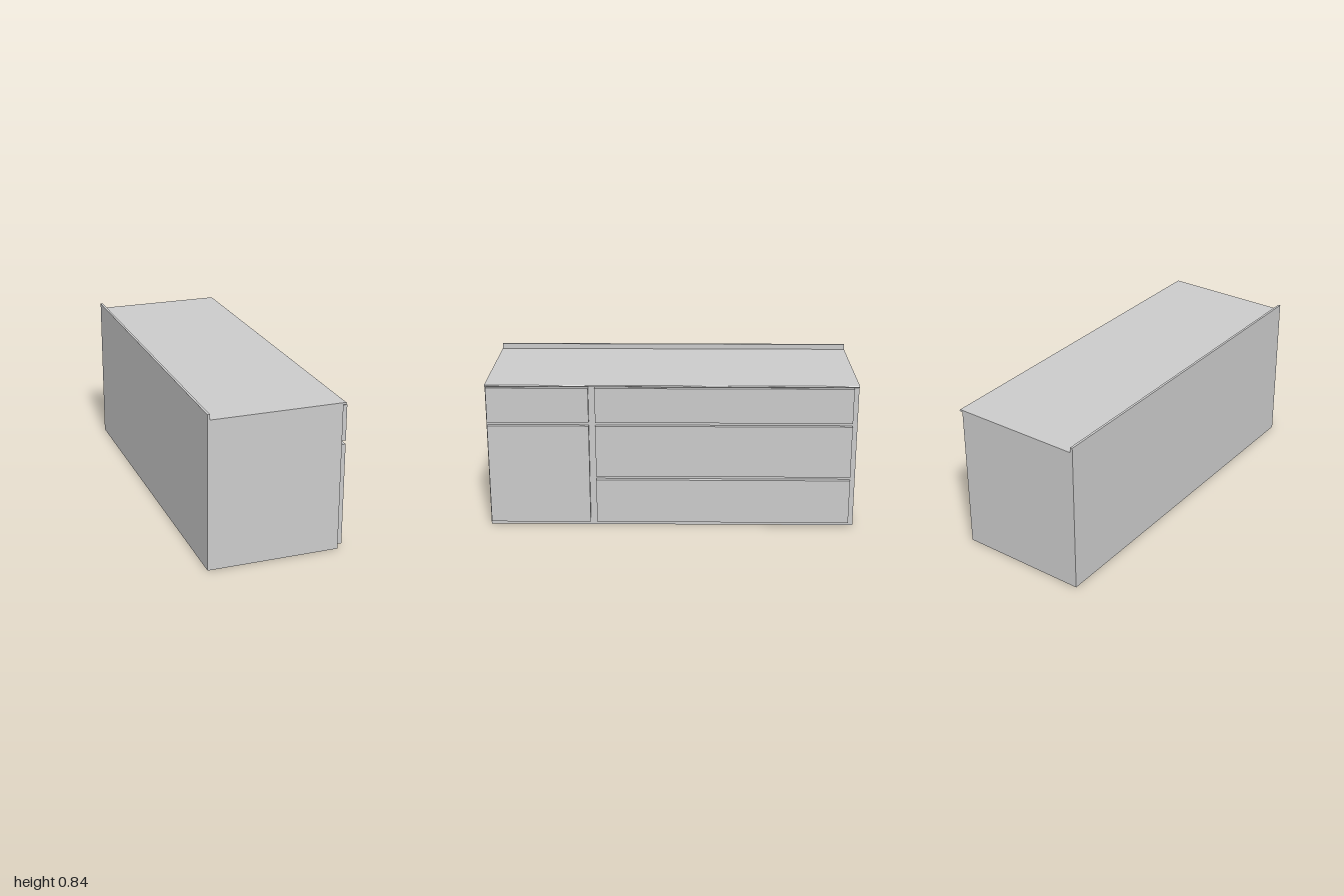
import * as THREE from 'three';

const material = new THREE.MeshStandardMaterial({ color: 0xcccccc, flatShading: true });

// Box given by its limits on each axis
function box(name, [x0, x1], [y0, y1], [z0, z1]) {
  const mesh = new THREE.Mesh(new THREE.BoxGeometry(x1 - x0, y1 - y0, z1 - z0), material);
  mesh.name = name;
  mesh.position.set((x0 + x1) / 2, (y0 + y1) / 2, (z0 + z1) / 2);
  return mesh;
}

export function createModel() {
  const model = new THREE.Group();
  model.name = 'counterCabinet';

  // Solid carcass
  model.add(box('carcass', [-0.37, 0.345], [0, 0.801], [-1, 1]));

  // Worktop with upstand at the back and a rounded front nose
  const profile = new THREE.Shape();
  profile.moveTo(-0.37, 0.801);
  profile.lineTo(0.358, 0.801);
  profile.absarc(0.358, 0.806, 0.005, -Math.PI / 2, Math.PI / 2, false);
  profile.lineTo(-0.357, 0.811);
  profile.lineTo(-0.357, 0.84);
  profile.lineTo(-0.37, 0.84);
  profile.closePath();
  const topGeometry = new THREE.ExtrudeGeometry(profile, { depth: 2, bevelEnabled: false, curveSegments: 6 });
  const worktop = new THREE.Mesh(topGeometry, material);
  worktop.name = 'worktop';
  worktop.position.z = -1;
  model.add(worktop);

  // Door and drawer fronts: name, height range, z range
  const narrow = [0.447, 0.994];
  const wide = [-0.972, 0.412];
  const fronts = [
    ['door', [0.024, 0.583], narrow],
    ['smallDrawerFront', [0.603, 0.796], narrow],
    ['lowerDrawerFront', [0.024, 0.273], wide],
    ['middleDrawerFront', [0.293, 0.583], wide],
    ['upperDrawerFront', [0.603, 0.796], wide],
  ];
  for (const [name, y, z] of fronts) model.add(box(name, [0.345, 0.369], y, z));

  return model;
}
